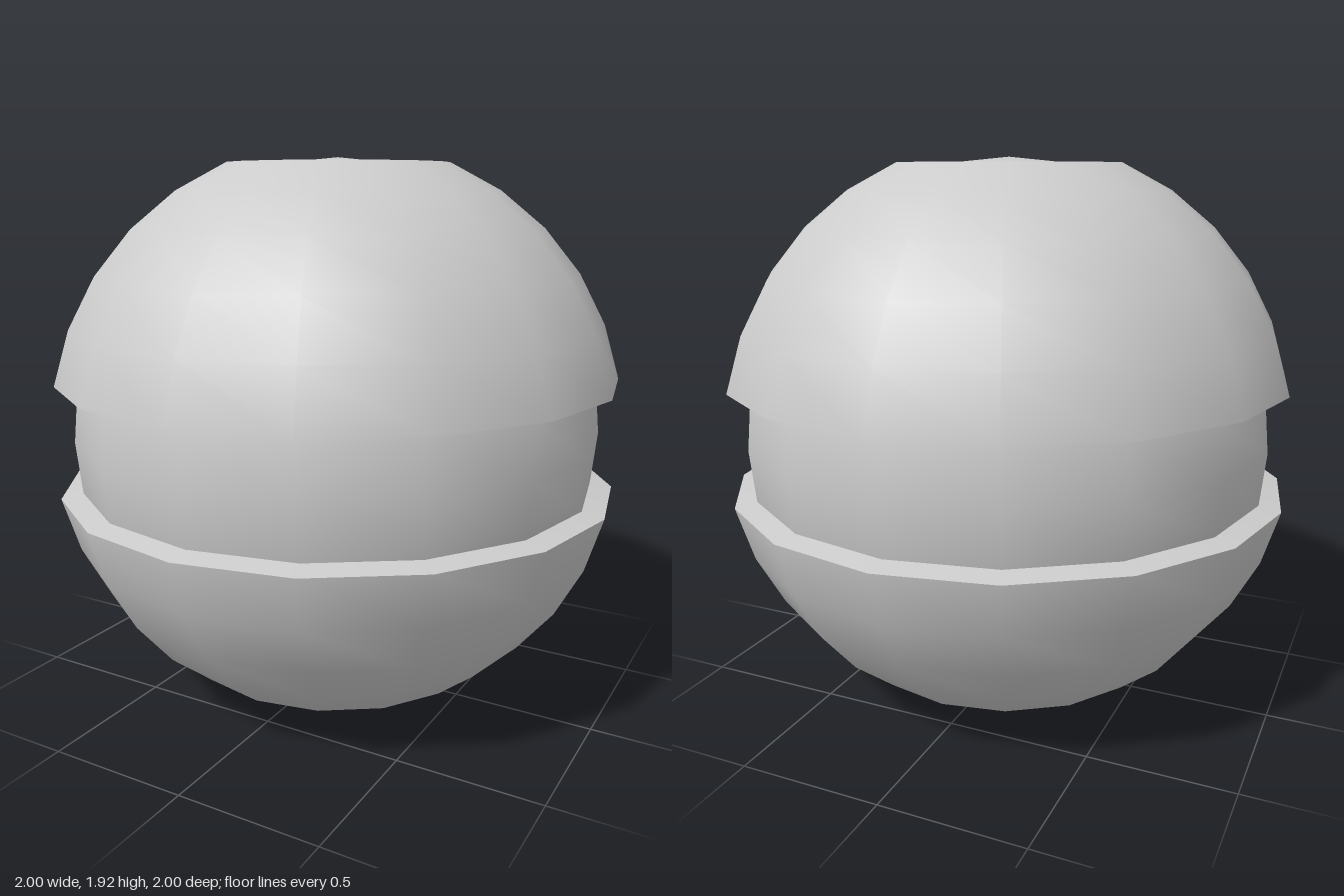
import * as THREE from 'three';

export function createModel() {
  const group = new THREE.Group();
  const material = new THREE.MeshStandardMaterial({ color: 0xcccccc });

  const sides = 16;
  const step = Math.PI / 16;            // angle between rings
  const R = 1 / Math.cos(step);         // outer shell radius
  const inner = 0.942;                  // recessed equator band radius
  const sink = 0.06;                    // depth of the pole recesses
  const centre = R - sink;              // height of the middle

  const add = (name, geometry, y = 0) => {
    const mesh = new THREE.Mesh(geometry, material);
    mesh.name = name;
    mesh.position.y = centre + y;
    group.add(mesh);
  };
  // Sphere zone between two ring numbers counted from the top pole
  const zone = (radius, from, to) =>
    new THREE.SphereGeometry(radius, sides, to - from, 0, Math.PI * 2, from * step, (to - from) * step);
  // Point on a ring, as radius and height
  const ring = (radius, n, dy = 0) =>
    new THREE.Vector2(radius * Math.sin(n * step), radius * Math.cos(n * step) + dy);
  const wall = (a, b) => new THREE.LatheGeometry([a, b], sides);

  // Outer shells and the groove between them
  add('upperShell', zone(R, 2, 7));
  add('lowerShell', zone(R, 9, 14));
  add('equatorBand', zone(inner, 7, 9));
  add('upperLip', wall(ring(inner, 7), ring(R, 7)));
  add('lowerLip', wall(ring(R, 9), ring(inner, 9)));

  // Sunken caps at both poles with upright walls
  add('topCap', zone(R, 0, 2), -sink);
  add('topRecessWall', wall(ring(R, 2), ring(R, 2, -sink)));
  add('bottomCap', zone(R, 14, 16), sink);
  add('bottomRecessWall', wall(ring(R, 14, sink), ring(R, 14)));

  return group;
}
